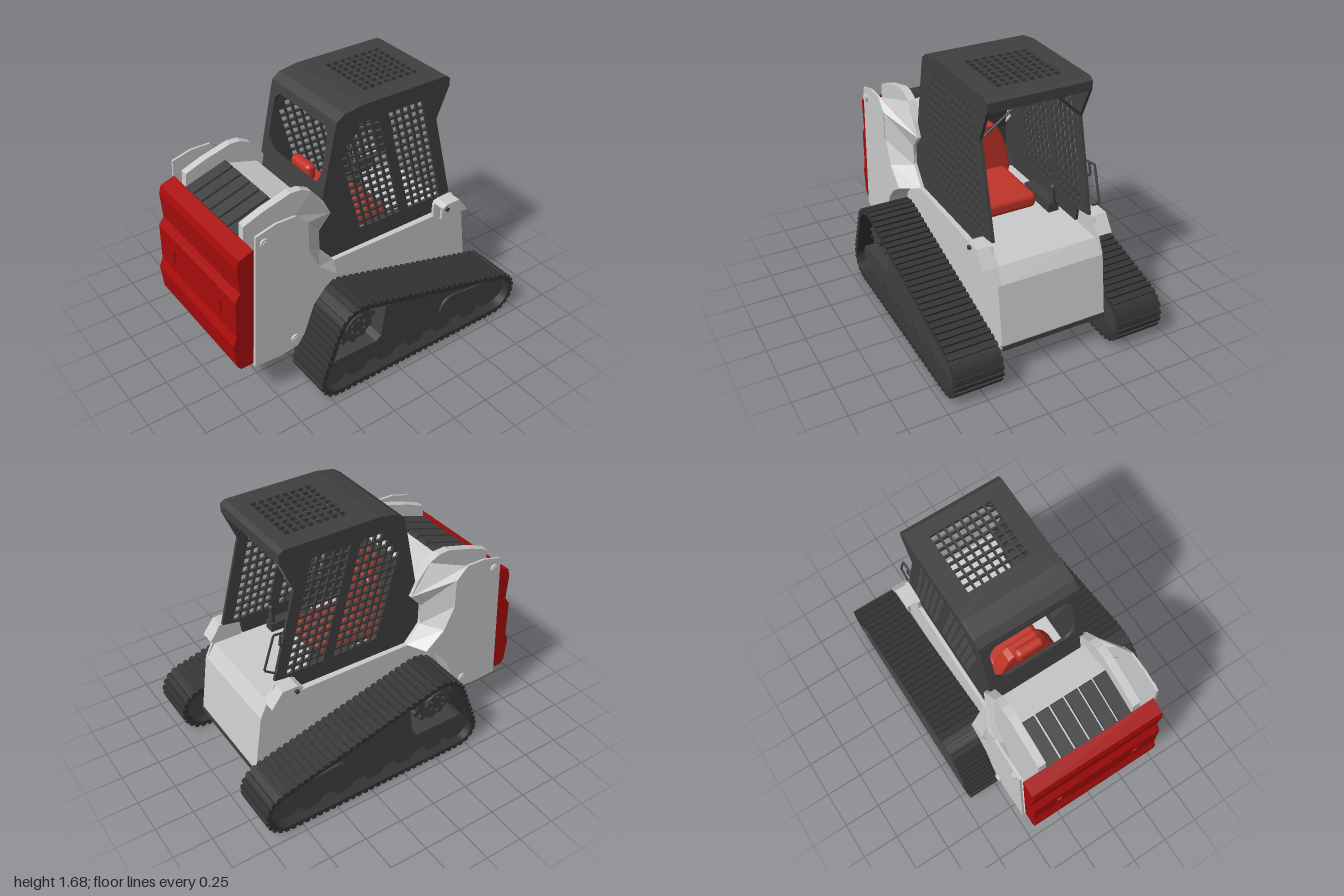
import * as THREE from 'three';
import { mergeGeometries } from 'three/addons/utils/BufferGeometryUtils.js';
import { RoundedBoxGeometry } from 'three/addons/geometries/RoundedBoxGeometry.js';

const mat = (color, side = THREE.FrontSide) => new THREE.MeshStandardMaterial({ color, side });
const grey = mat(0xcccccc), greyThin = mat(0xcccccc, THREE.DoubleSide);
const dark = mat(0x404040), rubber = mat(0x333333), red = mat(0xa80c0c), seatRed = mat(0xc03428);

const poly = (pts) => new THREE.Shape(pts.map(([x, y]) => new THREE.Vector2(x, y)));
const add = (parent, name, geo, m, x = 0, y = 0, z = 0) => {
  const mesh = new THREE.Mesh(geo, m);
  mesh.name = name;
  mesh.position.set(x, y, z);
  parent.add(mesh);
  return mesh;
};
// Extrude a side profile between two z values
const slab = (parent, name, shape, z0, z1, m) => add(parent, name,
  new THREE.ExtrudeGeometry(Array.isArray(shape) ? poly(shape) : shape,
    { depth: Math.abs(z1 - z0), bevelEnabled: false, curveSegments: 12 }), m, 0, 0, Math.min(z0, z1));
const box = (parent, name, w, h, d, m, x, y, z) => add(parent, name, new THREE.BoxGeometry(w, h, d), m, x, y, z);
const disc = (parent, name, r, d, m, x, y, z, n = 24) => {
  const mesh = add(parent, name, new THREE.CylinderGeometry(r, r, d, n), m, x, y, z);
  mesh.rotation.x = Math.PI / 2;
  return mesh;
};
const tube = (parent, name, pts, r, m) => {
  const path = new THREE.CurvePath();
  const v = pts.map((p) => new THREE.Vector3(...p));
  for (let i = 1; i < v.length; i++) path.add(new THREE.LineCurve3(v[i - 1], v[i]));
  return add(parent, name, new THREE.TubeGeometry(path, 32, r, 8), m);
};
// Bent sheet following a line, thickened sideways
const sheet = (parent, name, pts, t, z, m) => {
  const back = pts.map(([x, y], i) => {
    const a = pts[Math.max(i - 1, 0)], b = pts[Math.min(i + 1, pts.length - 1)];
    const l = Math.hypot(b[0] - a[0], b[1] - a[1]);
    return [x + (b[1] - a[1]) / l * t, y - (b[0] - a[0]) / l * t];
  });
  return slab(parent, name, [...pts, ...back.reverse()], -z, z, m);
};

// Closed belt line around circles [x, y, r], counter-clockwise
function beltShape(circles, shrink) {
  const n = circles.length, shape = new THREE.Shape();
  const normal = (a, b) => Math.atan2(b[1] - a[1], b[0] - a[0])
    - Math.acos((a[2] - b[2]) / Math.hypot(b[0] - a[0], b[1] - a[1]));
  circles.forEach((c, i) => shape.absarc(c[0], c[1], c[2] - shrink,
    normal(circles[(i + n - 1) % n], c), normal(c, circles[(i + 1) % n]), false));
  return shape.closePath();
}

function track(s) {
  const g = new THREE.Group();
  g.name = s > 0 ? 'leftTrack' : 'rightTrack';
  const circles = [[-0.44, 0.14, 0.12], [0.83, 0.17, 0.15], [-0.27, 0.43, 0.18]];
  const outer = beltShape(circles, 0), ring = beltShape(circles, 0);
  ring.holes.push(beltShape(circles, 0.025));
  slab(g, 'belt', ring, s * 0.39, s * 0.7, rubber);
  // cleats
  const pts = outer.getSpacedPoints(78), cleats = [];
  for (let i = 0; i < 78; i++) {
    const p = pts[i], q = pts[i + 1];
    cleats.push(new THREE.BoxGeometry(0.026, 0.028, 0.31)
      .rotateZ(Math.atan2(q.y - p.y, q.x - p.x)).translate((p.x + q.x) / 2, (p.y + q.y) / 2, s * 0.545));
  }
  add(g, 'cleats', mergeGeometries(cleats), rubber);
  // frame and raised cover
  const frame = poly([[-0.42, 0.1], [0.8, 0.1]]);
  frame.absarc(0.84, 0.19, 0.11, -1.3, 1.35, false);
  [[-0.06, 0.485], [-0.09, 0.26], [-0.13, 0.235], [-0.44, 0.235], [-0.48, 0.2], [-0.48, 0.13]]
    .forEach(([x, y]) => frame.lineTo(x, y));
  slab(g, 'trackFrame', frame, s * 0.43, s * 0.65, dark);
  slab(g, 'frameCover', beltShape([[0.47, 0.225, 0.09], [0.85, 0.19, 0.085]], 0), s * 0.65, s * 0.665, dark);
  for (const x of [-0.27, -0.04, 0.19, 0.42, 0.65]) disc(g, 'roller', 0.075, 0.2, dark, x, 0.11, s * 0.545);
  disc(g, 'frontIdler', 0.125, 0.18, dark, 0.83, 0.17, s * 0.545, 32);
  disc(g, 'rearIdler', 0.095, 0.2, dark, -0.44, 0.14, s * 0.545, 32);
  // drive sprocket
  disc(g, 'sprocket', 0.125, 0.1, dark, -0.27, 0.43, s * 0.57, 32);
  disc(g, 'sprocketHub', 0.075, 0.16, dark, -0.27, 0.43, s * 0.57);
  for (let i = 0; i < 12; i++) {
    const a = i * Math.PI / 6;
    disc(g, 'sprocketTooth', 0.022, 0.07, dark, -0.27 + 0.14 * Math.cos(a), 0.43 + 0.14 * Math.sin(a), s * 0.57, 10);
    if (i % 2) disc(g, 'hubBolt', 0.01, 0.02, dark, -0.27 + 0.05 * Math.cos(a), 0.43 + 0.05 * Math.sin(a), s * 0.655, 6);
  }
  return g;
}

function cab() {
  const g = new THREE.Group();
  g.name = 'cab';
  // mesh side walls
  const wall = poly([[-0.23, 0.72], [0.56, 0.73], [0.57, 0.82], [0.695, 0.84], [0.545, 1.42], [0.63, 1.62], [0.63, 1.67],
    [0.6, 1.69], [-0.02, 1.69], [-0.14, 1.67], [-0.19, 1.635], [-0.205, 1.58], [-0.285, 1.2], [-0.33, 0.98], [-0.33, 0.84]]);
  const p = 0.0535, w = 0.04, slope = 0.26;
  for (const [x0, cols] of [[-0.205, 6], [0.172, 5]]) for (let r = 0; r < 14; r++) for (let c = 0; c < cols; c++) {
    const y = 1.58 - r * p, x = x0 + c * p + slope * r * p;
    if (cols === 6 && x < -0.06 - r * 0.042) continue;
    wall.holes.push(poly([[x, y], [x + w, y], [x + w + slope * w, y - w], [x + slope * w, y - w]]));
  }
  for (const s of [1, -1]) slab(g, 'cabSide', wall, s * 0.31, s * 0.329, dark);
  // roof with grille
  const roof = poly([[-0.02, -0.315], [0.6, -0.315], [0.6, 0.315], [-0.02, 0.315]]);
  for (let i = 0; i < 8; i++) for (let j = 0; j < 8; j++) {
    const x = 0.105 + i * 0.052, z = -0.205 + j * 0.052;
    roof.holes.push(poly([[x, z], [x + 0.04, z], [x + 0.04, z + 0.04], [x, z + 0.04]]));
  }
  const roofPanel = slab(g, 'roof', roof, 0, 0.025, dark);
  roofPanel.rotation.x = Math.PI / 2;
  roofPanel.position.y = 1.69;
  sheet(g, 'roofRear', [[-0.205, 1.58], [-0.19, 1.635], [-0.14, 1.67], [-0.02, 1.69]], 0.025, 0.315, dark);
  sheet(g, 'visor', [[0.6, 1.69], [0.63, 1.67], [0.63, 1.61]], 0.025, 0.315, dark);
  // rear wall with rounded window
  sheet(g, 'rearWall', [[-0.23, 0.72], [-0.33, 0.84], [-0.33, 0.98], [-0.285, 1.2]], 0.02, 0.315, dark);
  const back = poly([[-0.315, 0], [0.315, 0], [0.315, 0.42], [-0.315, 0.42]]);
  const win = new THREE.Path(), a = 0.19;
  win.absarc(a, 0.31, 0.085, 0, Math.PI / 2);
  win.absarc(-a, 0.31, 0.085, Math.PI / 2, Math.PI);
  win.absarc(-a, 0.11, 0.085, Math.PI, Math.PI * 1.5);
  win.absarc(a, 0.11, 0.085, Math.PI * 1.5, Math.PI * 2);
  back.holes.push(win);
  const holder = new THREE.Group();
  holder.name = 'rearWindowFrame';
  slab(holder, 'rearWindowPanel', back, 0, 0.02, dark).rotation.y = Math.PI / 2;
  holder.position.set(-0.285, 1.2, 0);
  holder.rotation.z = -0.207;
  g.add(holder);
  for (const s of [1, -1]) {
    tube(g, 'cornerBrace', [[0.55, 1.44, s * 0.305], [0.6, 1.64, s * 0.09]], 0.008, dark);
    // control levers
    box(g, 'console', 0.3, 0.06, 0.07, dark, 0.25, 0.75, s * 0.255);
    add(g, 'lever', new THREE.CylinderGeometry(0.012, 0.025, 0.11, 12), dark, 0.38, 0.82, s * 0.255);
    add(g, 'leverGrip', new THREE.CapsuleGeometry(0.016, 0.03, 4, 10), dark, 0.38, 0.87, s * 0.255);
  }
  tube(g, 'grabHandle', [[0.61, 1.16, -0.33], [0.69, 1.17, -0.335], [0.76, 0.95, -0.335], [0.69, 0.9, -0.335], [0.67, 0.92, -0.33]], 0.007, dark);
  tube(g, 'handleBar', [[0.64, 1.16, -0.33], [0.655, 1.09, -0.335], [0.63, 1.07, -0.33]], 0.007, dark);
  return g;
}

function seat() {
  const g = new THREE.Group();
  g.name = 'seat';
  const half = [[0.19, 0], [0.21, 0.08], [0.2, 0.18], [0.16, 0.3], [0.12, 0.38], [0.09, 0.4]];
  const shape = poly([...half, ...half.map(([x, y]) => [-x, y]).reverse()]);
  add(g, 'backrest', new THREE.ExtrudeGeometry(shape,
    { depth: 0.06, bevelSize: 0.012, bevelThickness: 0.015, bevelSegments: 3 }), seatRed, -0.17, 0.72, 0).rotation.y = Math.PI / 2;
  add(g, 'headrest', new RoundedBoxGeometry(0.07, 0.11, 0.19, 4, 0.03), seatRed, -0.2, 1.185, 0);
  for (const s of [1, -1]) add(g, 'headrestPost', new THREE.CylinderGeometry(0.008, 0.008, 0.1, 8), dark, -0.18, 1.12, s * 0.06);
  add(g, 'cushion', new RoundedBoxGeometry(0.46, 0.1, 0.38, 4, 0.035), seatRed, 0.08, 0.77, 0);
  return g;
}

function body() {
  const g = new THREE.Group();
  g.name = 'body';
  slab(g, 'hull', [[-0.88, 0.25], [-0.5, 0.2], [0.87, 0.2], [0.865, 0.235], [0.81, 0.62], [0.75, 0.71], [-0.24, 0.71], [-0.345, 0.84],
    [-0.345, 1.13], [-0.56, 1.19], [-0.84, 1.1]], -0.35, 0.35, grey);
  box(g, 'frontLip', 0.02, 0.03, 0.7, dark, 0.862, 0.217, 0);
  // engine louvres
  for (let i = 0; i < 6; i++) box(g, 'louvre', 0.29, 0.03, 0.085, dark, -0.7, 1.16, -0.25 + i * 0.1).rotation.z = 0.31;
  const plate = [[-0.88, 0.3], [-0.7, 0.29], [-0.58, 0.31], [-0.53, 0.38], [-0.46, 0.57], [-0.38, 0.66], [-0.29, 0.72],
    [-0.42, 0.83], [-0.49, 0.98], [-0.49, 1.17], [-0.57, 1.25], [-0.7, 1.25], [-0.83, 1.215]];
  const inner = { 6: [-0.23, 0.72], 7: [-0.33, 0.84], 8: [-0.33, 0.98], 9: [-0.25, 1.07], 10: [-0.38, 1.27] };
  for (const s of [1, -1]) {
    slab(g, 'rearSidePlate', plate, s * 0.465, s * 0.48, grey);
    slab(g, 'engineCheek', [[-0.84, 1.05], [-0.345, 0.9], [-0.33, 0.98], [-0.25, 1.07], [-0.3, 1.17], [-0.38, 1.27], [-0.45, 1.305],
      [-0.52, 1.31], [-0.7, 1.26], [-0.83, 1.21]], s * 0.3, s * 0.352, grey);
    // flange joining side plate to hull
    const pos = [], idx = [];
    for (let i = 0; i <= 10; i++) {
      const q = inner[i] || plate[i];
      pos.push(...plate[i], s * 0.475, ...q, s * 0.35);
      if (i) idx.push(2 * i - 2, 2 * i - 1, 2 * i, 2 * i, 2 * i - 1, 2 * i + 1);
    }
    const geo = new THREE.BufferGeometry();
    geo.setAttribute('position', new THREE.Float32BufferAttribute(pos, 3));
    geo.setIndex(idx);
    const flat = geo.toNonIndexed();
    flat.computeVertexNormals();
    add(g, 'sideFlange', flat, greyThin);
    for (const [x, y] of [[-0.78, 1.16], [-0.6, 0.38]]) {
      disc(g, 'pivotPin', 0.028, 0.02, grey, x, y, s * 0.483);
      disc(g, 'pivotPinCap', 0.018, 0.02, grey, x, y, s * 0.488);
    }
    // front cab mounts
    slab(g, 'frontCheek', [[0.56, 0.7], [0.81, 0.62], [0.71, 0.83], [0.6, 0.83], [0.56, 0.8]], s * 0.33, s * 0.35, grey);
    slab(g, 'cabMountTop', [[0.57, 0.795], [0.6, 0.815], [0.69, 0.815], [0.76, 0.72], [0.775, 0.73], [0.7, 0.83], [0.6, 0.83], [0.565, 0.81]], s * 0.33, s * 0.43, grey);
    slab(g, 'cabMountLug', [[0.57, 0.72], [0.76, 0.72], [0.69, 0.82], [0.6, 0.825], [0.57, 0.8]], s * 0.4, s * 0.42, grey);
    disc(g, 'cabMountPin', 0.014, 0.03, dark, 0.605, 0.79, s * 0.42, 12);
  }
  // tailgate
  slab(g, 'tailgate', [[-0.88, 0.31], [-0.835, 1.12], [-0.93, 1.085], [-0.945, 1.03], [-0.935, 0.86], [-0.97, 0.81], [-0.975, 0.56],
    [-1, 0.5], [-0.985, 0.34], [-0.96, 0.31]], -0.457, 0.457, red);
  for (const s of [1, -1]) box(g, 'tailgateRib', 0.02, 0.1, 0.03, red, -0.972, 0.68, s * 0.28);
  g.add(cab(), seat());
  g.position.z = -0.012;
  return g;
}

export function createModel() {
  const model = new THREE.Group();
  model.name = 'trackedMachine';
  model.add(body(), track(1), track(-1));
  return model;
}
